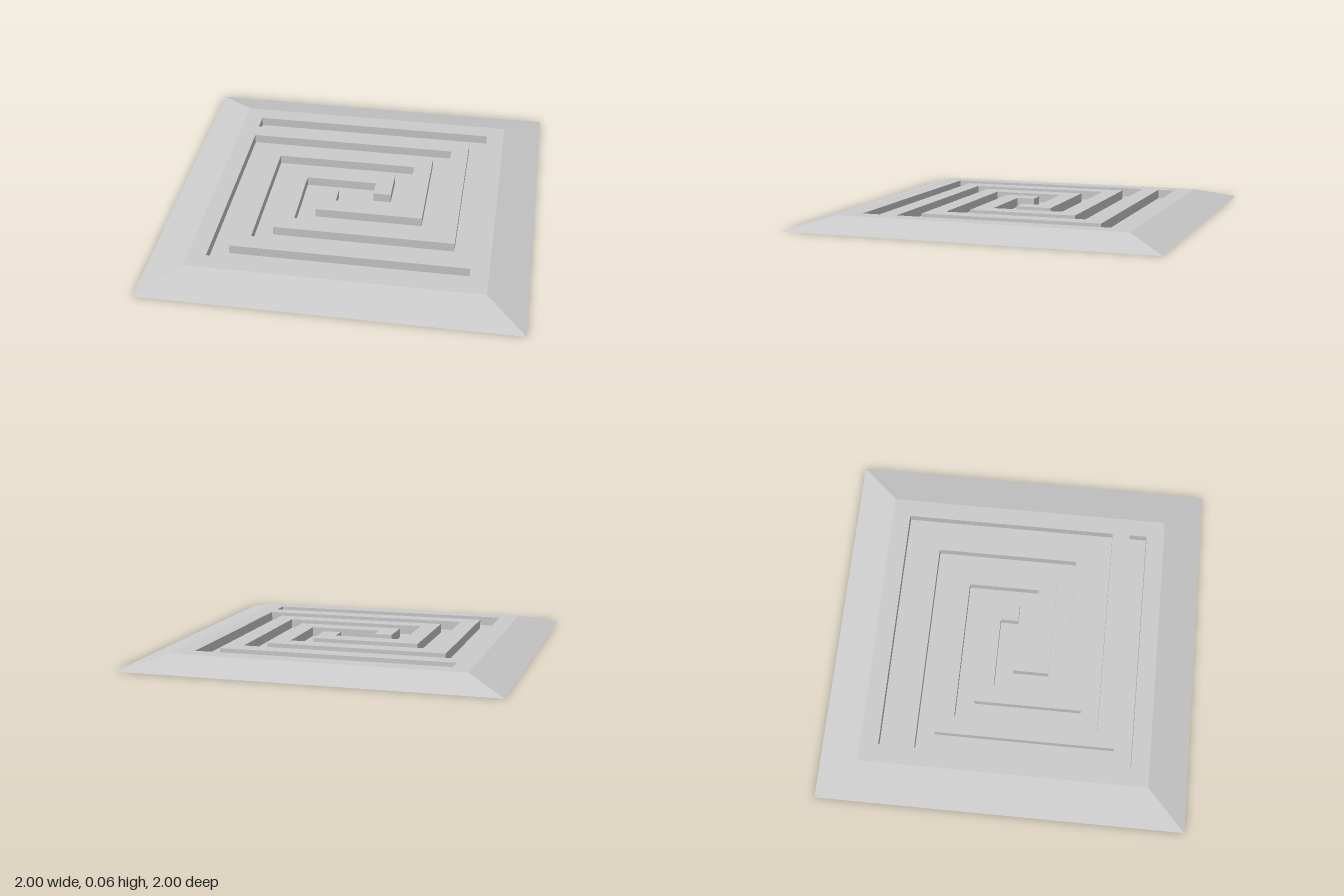
import * as THREE from 'three';

const TOP = 0.063;    // height of the plateau
const FLOOR = 0.012;  // height of the groove floor
const PLATEAU = 0.787; // half width of the plateau
const UNIT = 0.0983;  // groove width

// Closed band of flat quads between a lower and an upper loop of [x, z] points
function band(lower, yLow, upper, yHigh) {
  const pos = [];
  lower.forEach((p, i) => {
    const j = (i + 1) % lower.length;
    const a = [p[0], yLow, p[1]];
    const b = [lower[j][0], yLow, lower[j][1]];
    const c = [upper[j][0], yHigh, upper[j][1]];
    const d = [upper[i][0], yHigh, upper[i][1]];
    pos.push(...a, ...b, ...c, ...a, ...c, ...d);
  });
  const geo = new THREE.BufferGeometry();
  geo.setAttribute('position', new THREE.Float32BufferAttribute(pos, 3));
  geo.computeVertexNormals();
  return geo;
}

// Horizontal sheet from [x, z] outlines
const toPoints = loop => loop.map(([x, z]) => new THREE.Vector2(x, -z));
function sheet(outline, y, hole) {
  const shape = new THREE.Shape(toPoints(outline));
  if (hole) shape.holes.push(new THREE.Path(toPoints(hole)));
  return new THREE.ShapeGeometry(shape).rotateX(-Math.PI / 2).translate(0, y, 0);
}

export function createModel() {
  const group = new THREE.Group();
  const material = new THREE.MeshStandardMaterial({
    color: 0xcccccc, flatShading: true, side: THREE.DoubleSide,
  });
  const add = (name, geometry) => {
    const mesh = new THREE.Mesh(geometry, material);
    mesh.name = name;
    group.add(mesh);
  };

  const square = s => [[-s, s], [s, s], [s, -s], [-s, -s]];

  // Half of the double spiral outline in groove widths; the rest is its half turn
  const half = [
    [-7, -7], [7, -7], [7, 5], [-5, 5], [-5, -3], [3, -3], [3, 1], [-1, 1],
    [-1, 0], [-2, 0], [-2, 2], [4, 2], [4, -4], [-6, -4], [-6, 6], [7, 6],
  ].map(([x, z]) => [x * UNIT, z * UNIT]);
  const spiral = [...half, ...half.map(([x, z]) => [-x, -z])];

  // Sloping border, open underneath
  add('slopedBorder', band(square(1), 0, square(PLATEAU), TOP));
  // Flat top with the spiral cut out
  add('plateau', sheet(square(PLATEAU), TOP, spiral));
  // Sunken spiral channel
  add('grooveWalls', band(spiral, FLOOR, spiral, TOP));
  add('grooveFloor', sheet(spiral, FLOOR));

  return group;
}
